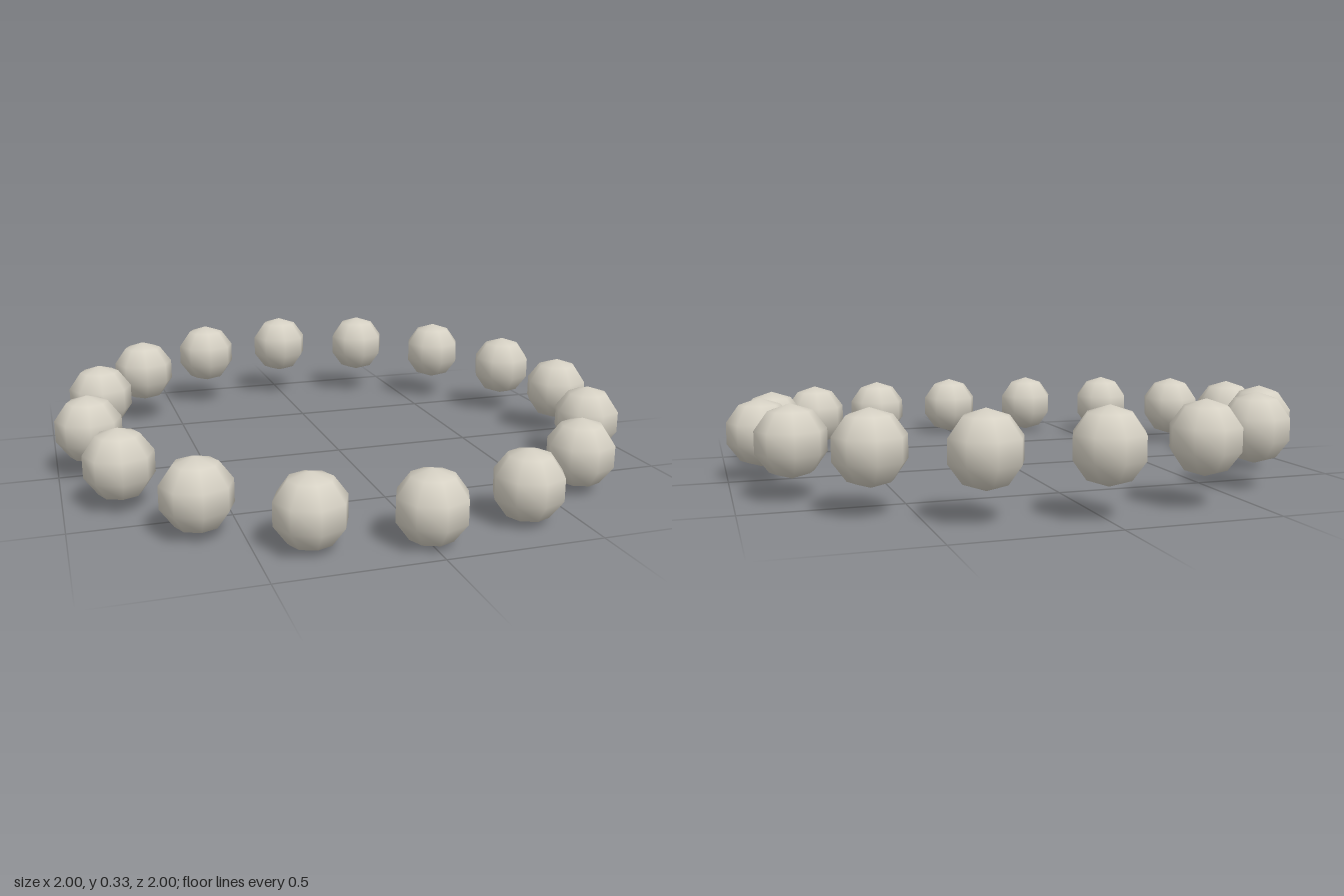
import * as THREE from 'three';

export function createModel() {
  const group = new THREE.Group();
  group.name = 'beadRing';

  const pearl = new THREE.MeshStandardMaterial({ color: 0xd6d1c4 });
  pearl.name = 'pearl';

  const count = 16;
  const beadRadius = 0.117;
  const ringRadius = 0.889;
  const rise = 0.049; // the back of the ring sits higher than the front

  // Low-poly bead with smooth normals, shared by the whole ring
  const beadGeometry = new THREE.SphereGeometry(beadRadius, 8, 5);

  for (let i = 0; i < count; i++) {
    const angle = (i / count) * Math.PI * 2;
    const bead = new THREE.Mesh(beadGeometry, pearl);
    bead.name = `bead${i + 1}`;
    bead.position.set(
      Math.sin(angle) * ringRadius,
      beadRadius + rise * (1 - Math.cos(angle)),
      Math.cos(angle) * ringRadius
    );
    group.add(bead);
  }
  return group;
}
